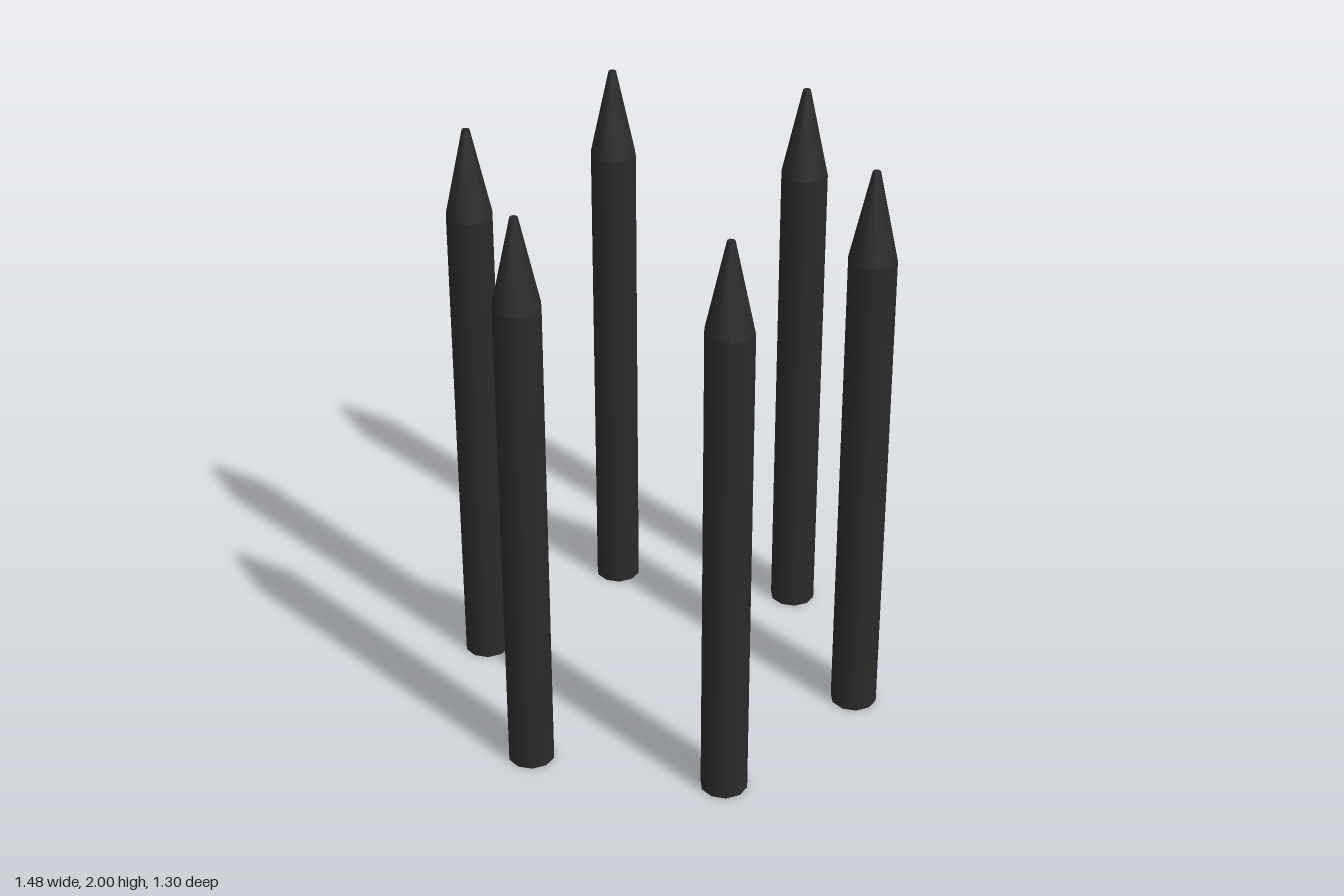
import * as THREE from 'three';

const SIDES = 10, RADIUS = 0.079, TIP_RADIUS = 0.013;
const SHAFT_HEIGHT = 1.7, TIP_HEIGHT = 0.3;
const POST_COUNT = 6, RING_RADIUS = 0.662;

export function createModel() {
  const model = new THREE.Group();
  model.name = 'stakeRing';
  const material = new THREE.MeshStandardMaterial({ color: 0x2a2a2a });

  // Shaft and tapered tip, turned so that corners lie on the x axis
  const shaftGeometry = new THREE.CylinderGeometry(RADIUS, RADIUS, SHAFT_HEIGHT, SIDES)
    .rotateY(Math.PI / 2)
    .translate(0, SHAFT_HEIGHT / 2, 0);
  const tipGeometry = new THREE.CylinderGeometry(TIP_RADIUS, RADIUS, TIP_HEIGHT, SIDES)
    .rotateY(Math.PI / 2)
    .translate(0, SHAFT_HEIGHT + TIP_HEIGHT / 2, 0);

  // Stakes evenly spaced on a circle, all with the same orientation
  for (let i = 0; i < POST_COUNT; i++) {
    const angle = (i / POST_COUNT) * Math.PI * 2;
    const stake = new THREE.Group();
    stake.name = `stake${i + 1}`;
    const shaft = new THREE.Mesh(shaftGeometry, material);
    shaft.name = 'shaft';
    const tip = new THREE.Mesh(tipGeometry, material);
    tip.name = 'pointedTip';
    stake.add(shaft, tip);
    stake.position.set(Math.cos(angle) * RING_RADIUS, 0, Math.sin(angle) * RING_RADIUS);
    model.add(stake);
  }
  return model;
}
